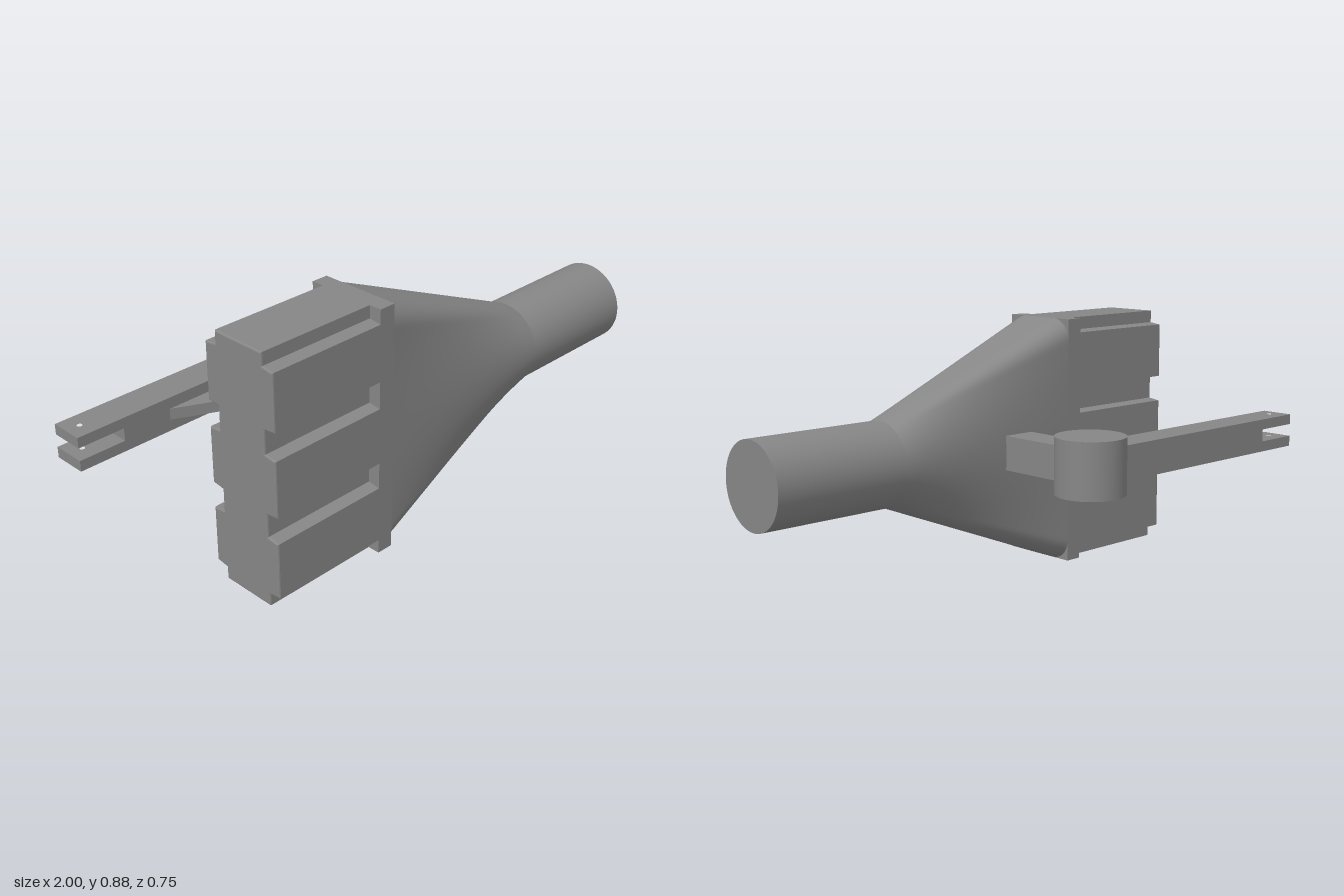
import * as THREE from 'three';

const material = new THREE.MeshStandardMaterial({ color: 0x868686 });
const CY = 0.44, CZ = 0.232;   // axis of the body
const H = 0.44, W = 0.146;     // half height and half depth of the body

function part(group, name, geometry, x = 0, y = 0, z = 0) {
  const mesh = new THREE.Mesh(geometry, material);
  mesh.name = name;
  mesh.position.set(x, y, z);
  group.add(mesh);
  return mesh;
}

// Box given by its limits
function block(group, name, x0, x1, y0, y1, z0, z1) {
  return part(group, name, new THREE.BoxGeometry(x1 - x0, y1 - y0, z1 - z0),
    (x0 + x1) / 2, (y0 + y1) / 2, (z0 + z1) / 2);
}

// Plan outline of [x, z] points raised from y0 to y1, with an optional round hole
function slab(group, name, points, y0, y1, hole) {
  const shape = new THREE.Shape(points.map(([x, z]) => new THREE.Vector2(x, -z)));
  if (hole) shape.holes.push(new THREE.Path().absarc(hole[0], -hole[1], hole[2], 0, Math.PI * 2, true));
  const geometry = new THREE.ExtrudeGeometry(shape, { depth: y1 - y0, bevelEnabled: false, curveSegments: 12 });
  geometry.rotateX(-Math.PI / 2);
  return part(group, name, geometry, 0, y0, 0);
}

// Grooved block with softened ends: one side of the section, mirrored to the other
function groovedGeometry(length) {
  const d = W - 0.045, s = 0.006, b = 0.005;
  const half = [[d, -H], [d, -H + 0.05 - s], [W, -H + 0.05]];
  for (const [low, high] of [[0.25, 0.342], [0.54, 0.634]]) {
    half.push([W, low - CY], [d, low - CY + s], [d, high - CY - s], [W, high - CY]);
  }
  half.push([W, H - 0.05], [d, H - 0.05 + s], [d, H]);
  const other = half.map(([x, y]) => [-x, y]).reverse();
  const shape = new THREE.Shape([...half, ...other].map(([x, y]) => new THREE.Vector2(x, y)));
  return new THREE.ExtrudeGeometry(shape, {
    depth: length, bevelThickness: b, bevelSize: b, bevelOffset: -b, bevelSegments: 2,
  }).rotateY(Math.PI / 2);
}

// Smooth transition from a rounded rectangle to a circle along x
function transitionGeometry(x0, x1, radius) {
  const r = 0.075, n = 144, rows = 16, q = Math.PI / 2;
  const path = new THREE.Path().moveTo(H, 0);
  path.lineTo(H, W - r).absarc(H - r, W - r, r, 0, q);
  path.lineTo(-H + r, W).absarc(-H + r, W - r, r, q, 2 * q);
  path.lineTo(-H, -W + r).absarc(-H + r, -W + r, r, 2 * q, 3 * q);
  path.lineTo(H - r, -W).absarc(H - r, -W + r, r, 3 * q, 4 * q);
  path.lineTo(H, 0);
  const start = path.getSpacedPoints(n);
  const positions = [], index = [];
  for (let i = 0; i <= rows; i++) {
    const t = i / rows;
    for (let j = 0; j < n; j++) {
      const a = (j / n) * Math.PI * 2;
      positions.push(
        THREE.MathUtils.lerp(x0, x1, t),
        THREE.MathUtils.lerp(start[j].x, Math.cos(a) * radius, t),
        THREE.MathUtils.lerp(start[j].y, Math.sin(a) * radius, t));
      if (i < rows) {
        const k = (j + 1) % n, p = i * n, u = p + n;
        index.push(p + j, p + k, u + j, p + k, u + k, u + j);
      }
    }
  }
  const geometry = new THREE.BufferGeometry();
  geometry.setAttribute('position', new THREE.Float32BufferAttribute(positions, 3));
  geometry.setIndex(index);
  geometry.computeVertexNormals();
  return geometry;
}

export function createModel() {
  const model = new THREE.Group();
  model.name = 'model';

  // Body: grooved block, square collar, tapering neck and round pipe
  const body = new THREE.Group();
  body.name = 'body';
  model.add(body);
  part(body, 'groovedBlock', groovedGeometry(0.43), -0.71, CY, CZ);
  block(body, 'collar', -0.28, -0.22, CY - H, CY + H, CZ - W, CZ + W);
  part(body, 'taperedNeck', transitionGeometry(-0.22, 0.51, W), 0, CY, CZ);
  part(body, 'pipe', new THREE.CylinderGeometry(W, W, 0.49, 144).rotateZ(Math.PI / 2), 0.755, CY, CZ);

  // Bracket behind the body: post, pivot drum, forked arm and gusset
  const bracket = new THREE.Group();
  bracket.name = 'bracket';
  model.add(bracket);
  block(bracket, 'post', -0.038, 0.081, 0.38, 0.5, -0.2, 0.11);
  part(bracket, 'pivotDrum', new THREE.CylinderGeometry(0.12, 0.12, 0.195, 64), 0.022, 0.44, -0.257);
  block(bracket, 'arm', -0.83, 0, 0.38, 0.5, -0.32, -0.2);
  for (const [y0, y1] of [[0.38, 0.418], [0.463, 0.5]]) {
    slab(bracket, 'forkProng', [[-1, -0.32], [-0.83, -0.32], [-0.83, -0.2], [-1, -0.2]], y0, y1, [-0.95, -0.26, 0.009]);
  }
  slab(bracket, 'gusset', [[-0.65, -0.2], [-0.038, -0.2], [-0.038, 0.09], [-0.06, 0.09]], 0.42, 0.46);

  return model;
}
